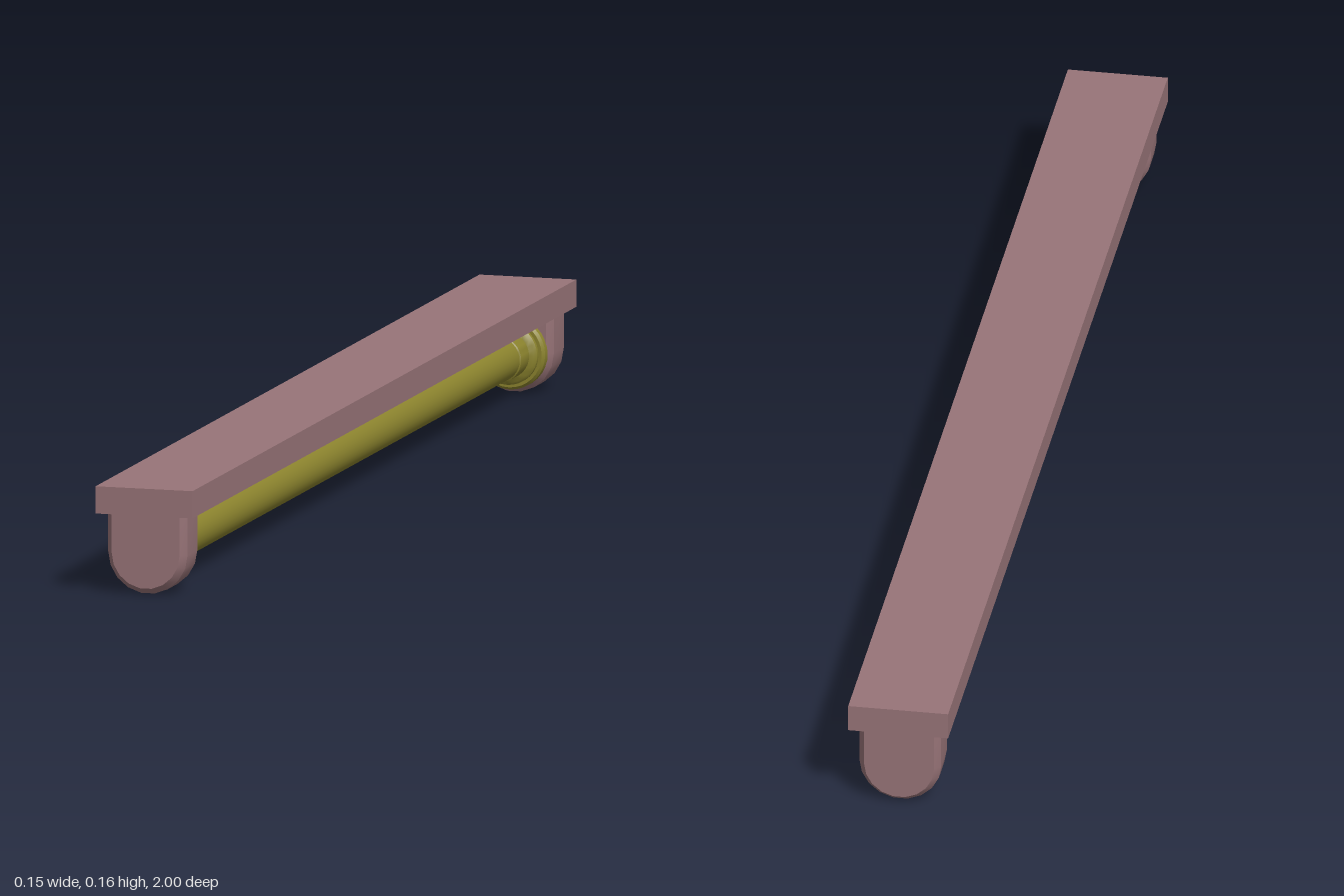
import * as THREE from 'three';
import { toCreasedNormals } from 'three/addons/utils/BufferGeometryUtils.js';

const AXIS_Y = 0.063; // height of the rod axis
const pink = new THREE.MeshStandardMaterial({ color: 0x987478 });
const olive = new THREE.MeshStandardMaterial({ color: 0x8c842e });

function addMesh(parent, name, geometry, material) {
  const mesh = new THREE.Mesh(geometry, material);
  mesh.name = name;
  parent.add(mesh);
  return mesh;
}

// U-shaped block with a chamfered rim, its top sunk into the plate
function bracketGeometry() {
  const bevel = 0.009, depth = 0.012, r = 0.063 - bevel, top = 0.14;
  const points = [new THREE.Vector2(r, top), new THREE.Vector2(-r, top)];
  for (let i = 0; i <= 9; i++) {
    const a = Math.PI + (i * Math.PI) / 9;
    points.push(new THREE.Vector2(r * Math.cos(a), AXIS_Y + r * Math.sin(a)));
  }
  const geometry = new THREE.ExtrudeGeometry(new THREE.Shape(points), {
    depth: 0.075 - 2 * depth, bevelThickness: depth, bevelSize: bevel, bevelSegments: 1,
  });
  geometry.translate(0, 0, 0.917 + depth);
  return toCreasedNormals(geometry, 0.5);
}

// Stepped ring profile, [radius, z] from the rod towards the bracket
function collarGeometry() {
  const profile = [
    [0.033, 0.845], [0.036, 0.847], [0.036, 0.888], [0.043, 0.89],
    [0.047, 0.894], [0.047, 0.901], [0.052, 0.901], [0.056, 0.906], [0.056, 0.925],
  ].map(([r, z]) => new THREE.Vector2(r, z));
  const geometry = new THREE.LatheGeometry(profile, 32);
  geometry.rotateX(Math.PI / 2);
  geometry.translate(0, AXIS_Y, 0);
  return toCreasedNormals(geometry, 0.6);
}

export function createModel() {
  const model = new THREE.Group();
  model.name = 'rodUnderPlate';

  // Long flat mounting plate
  const plate = addMesh(model, 'plate', new THREE.BoxGeometry(0.154, 0.042, 2), pink);
  plate.position.y = 0.144;

  // Round rod between the brackets
  const rod = addMesh(model, 'rod', new THREE.CylinderGeometry(0.034, 0.034, 1.86, 32), olive);
  rod.rotation.x = Math.PI / 2;
  rod.position.y = AXIS_Y;

  // Matching bracket and collar at each end
  const bracket = bracketGeometry();
  const collar = collarGeometry();
  for (const [name, turn] of [['frontEnd', 0], ['backEnd', Math.PI]]) {
    const end = new THREE.Group();
    end.name = name;
    end.rotation.y = turn;
    addMesh(end, 'bracket', bracket, pink);
    addMesh(end, 'collar', collar, olive);
    model.add(end);
  }
  return model;
}
